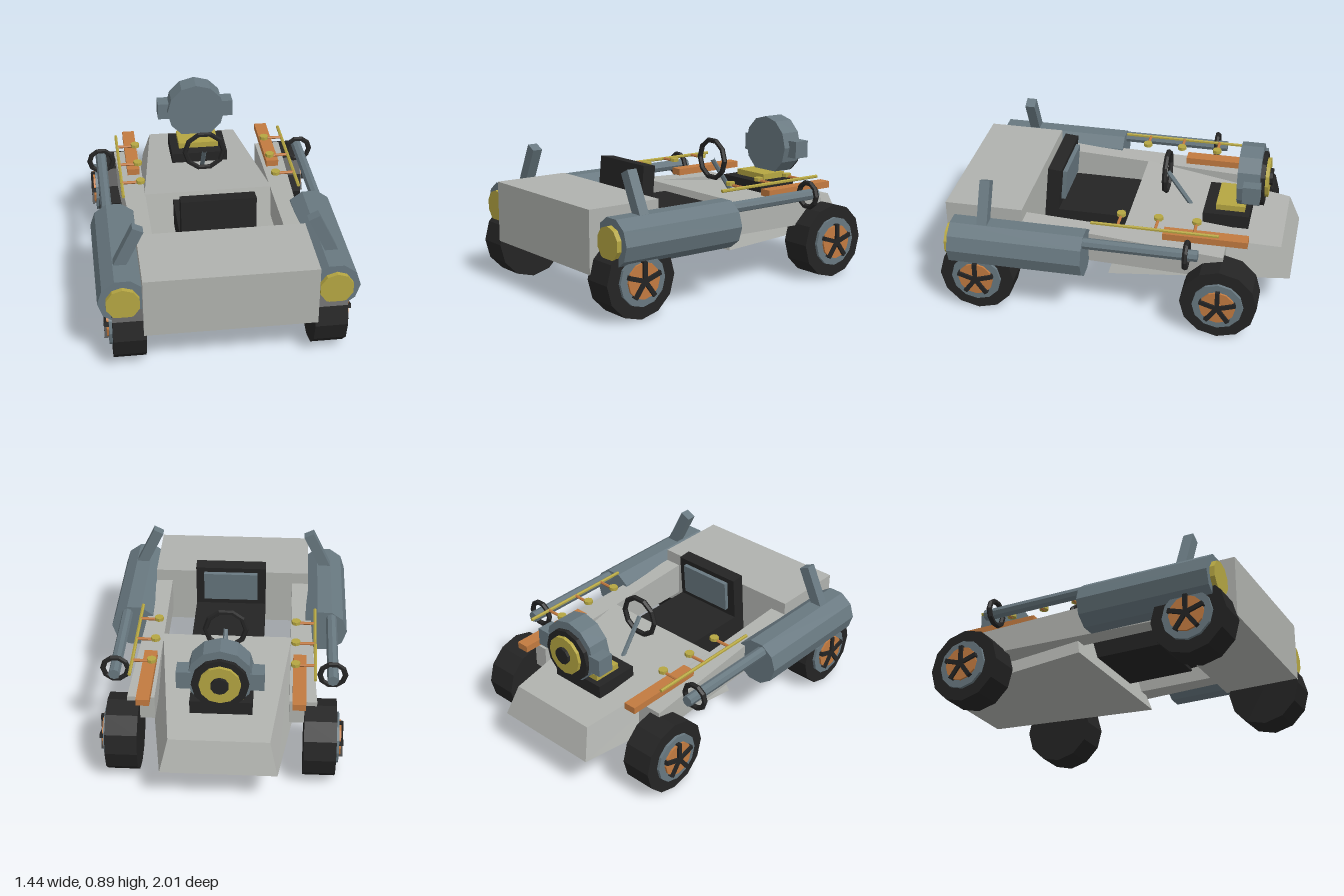
import * as THREE from 'three';

const mat = (name, color) => {
  const m = new THREE.MeshStandardMaterial({ color, flatShading: true });
  m.name = name;
  return m;
};

export function createModel() {
  const hull = mat('hull grey', 0xb0b2ae);
  const steel = mat('steel blue', 0x687880);
  const black = mat('rubber black', 0x242424);
  const brass = mat('brass', 0xb5a642);
  const copper = mat('copper', 0xc27a40);
  const model = new THREE.Group();
  model.name = 'buggy';

  const add = (name, geo, material, x, y, z, parent = model) => {
    const mesh = new THREE.Mesh(geo, material);
    mesh.name = name;
    mesh.position.set(x, y, z);
    parent.add(mesh);
    return mesh;
  };
  const box = (name, m, w, h, d, x, y, z, parent) =>
    add(name, new THREE.BoxGeometry(w, h, d), m, x, y, z, parent);
  // Cylinder lying along z or x, with a corner at the top
  const drumZ = (name, m, r, len, sides, x, y, z, parent) =>
    add(name, new THREE.CylinderGeometry(r, r, len, sides).rotateX(Math.PI / 2), m, x, y, z, parent);
  const drumX = (name, m, r, len, sides, x, y, z, parent) =>
    add(name, new THREE.CylinderGeometry(r, r, len, sides).rotateZ(Math.PI / 2), m, x, y, z, parent);
  // Six-sided block whose corners (each -1 or 1 per axis) are placed by a rule
  const block = (name, m, rule) => {
    const geo = new THREE.BoxGeometry(2, 2, 2);
    const p = geo.attributes.position;
    for (let i = 0; i < p.count; i++) p.setXYZ(i, ...rule(p.getX(i), p.getY(i), p.getZ(i)));
    geo.computeVertexNormals();
    return add(name, geo, m, 0, 0, 0);
  };

  // Hull: square chest at +z, tapered wedge at -z
  box('chest', hull, 0.96, 0.355, 0.455, 0, 0.4225, 0.7725);
  block('wedge', hull, (i, j, k) => j > 0
    ? (k > 0 ? [i * 0.385, 0.5, -0.035] : [i * 0.28, 0.41, -0.935])
    : (k > 0 ? [i * 0.48, 0.23, 0.04] : [i * 0.325, 0.23, -1]));

  // Seat
  box('seatCushion', black, 0.43, 0.15, 0.45, 0, 0.385, 0.205);
  const back = new THREE.Group();
  back.name = 'seatBack';
  back.position.set(0, 0.53, 0.43);
  back.rotation.x = -0.09;
  box('backrest', black, 0.43, 0.4, 0.08, 0, 0, 0, back);
  box('backPad', steel, 0.33, 0.19, 0.025, 0, 0.075, -0.052, back);
  model.add(back);

  // Steering wheel and its column
  add('steeringWheel', new THREE.TorusGeometry(0.118, 0.016, 6, 10), black, 0, 0.67, -0.22);
  const columnPath = new THREE.LineCurve3(
    new THREE.Vector3(0, 0.67, -0.22), new THREE.Vector3(0, 0.46, -0.365));
  add('steeringColumn', new THREE.TubeGeometry(columnPath, 1, 0.014, 6), steel, 0, 0, 0);

  // Rear drum on its base
  box('drumBase', black, 0.35, 0.08, 0.27, 0, 0.48, -0.595);
  box('drumPlinth', brass, 0.25, 0.04, 0.17, 0, 0.535, -0.615);
  drumZ('drum', steel, 0.183, 0.13, 12, 0, 0.712, -0.715);
  drumZ('drumSeal', black, 0.158, 0.03, 12, 0, 0.69, -0.79);
  drumZ('drumRing', brass, 0.115, 0.025, 12, 0, 0.7, -0.8125);
  drumZ('drumHub', black, 0.05, 0.02, 10, 0, 0.705, -0.833);

  for (const s of [1, -1]) {
    const side = s > 0 ? 'left' : 'right';

    // Sill joining wedge and chest
    block(side + 'Sill', hull, (i, j, k) => {
      const outer = i * s > 0;
      const x = outer ? (k > 0 ? 0.48 : 0.535) : 0.38;
      const y = j > 0 ? (k > 0 ? 0.525 : 0.465) : 0.32;
      return [s * x, y, k > 0 ? 0.55 : -0.63];
    });

    // Pod with lamp, tilted fin and long barrel
    const pod = add(side + 'Pod', new THREE.CylinderGeometry(0.14, 0.14, 0.78, 10)
      .rotateY(Math.PI / 2).rotateX(Math.PI / 2), steel, s * 0.582, 0.43, 0.54);
    pod.name = side + 'Pod';
    drumZ(side + 'Lamp', brass, 0.096, 0.03, 10, s * 0.585, 0.43, 0.943);
    const fin = box(side + 'Fin', steel, 0.066, 0.3, 0.06, s * 0.546, 0.643, 0.743);
    fin.rotation.z = s * 0.453;
    drumZ(side + 'Barrel', steel, 0.033, 1.24, 8, s * 0.623, 0.521, 0.12);
    add(side + 'BarrelRing', new THREE.TorusGeometry(0.073, 0.016, 6, 10), black, s * 0.622, 0.52, -0.435);

    // Copper beam, brass handrail and its three pegs
    box(side + 'Beam', copper, 0.075, 0.04, 0.485, s * 0.433, 0.52, -0.515);
    drumZ(side + 'Handrail', brass, 0.01, 0.73, 6, s * 0.52, 0.596, -0.235);
    for (const z of [-0.46, -0.24, -0.025]) {
      drumX(side + 'Peg', copper, 0.009, 0.12, 6, s * 0.463, 0.597, z);
      add(side + 'PegCap', new THREE.CylinderGeometry(0.027, 0.027, 0.02, 8), brass, s * 0.408, 0.604, z);
    }

    // Lugs on the drum
    box(side + 'DrumLug', steel, 0.08, 0.105, 0.1, s * 0.2, 0.704, -0.74);

    // Wheels with five spokes
    for (const [end, z] of [['front', 0.785], ['rear', -0.625]]) {
      const wheel = new THREE.Group();
      wheel.name = `${end}${side === 'left' ? 'Left' : 'Right'}Wheel`;
      wheel.position.set(s * 0.556, 0.22, z);
      drumX('tyre', black, 0.22, 0.182, 12, 0, 0, 0, wheel);
      drumX('rim', steel, 0.146, 0.03, 12, s * 0.093, 0, 0, wheel);
      drumX('hubPlate', copper, 0.102, 0.03, 12, s * 0.105, 0, 0, wheel);
      for (let i = 0; i < 5; i++) {
        const spoke = new THREE.BoxGeometry(0.03, 0.11, 0.025).translate(0, 0.053, 0);
        add('spoke', spoke, black, s * 0.118, 0, 0, wheel).rotation.x = i * Math.PI * 0.4;
      }
      model.add(wheel);
    }
  }
  return model;
}
